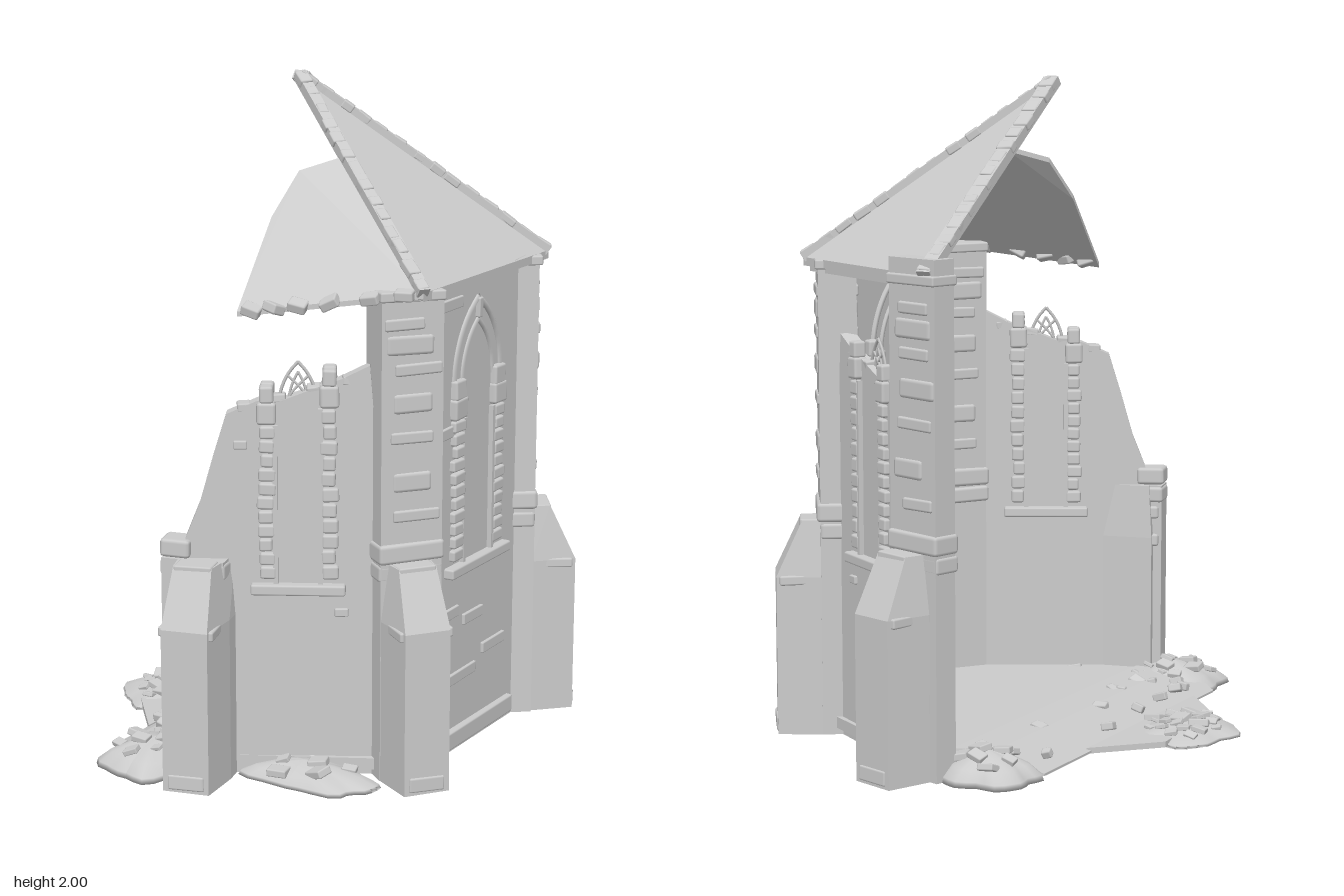
import * as THREE from 'three';
import { RoundedBoxGeometry } from 'three/addons/geometries/RoundedBoxGeometry.js';
import { ConvexGeometry } from 'three/addons/geometries/ConvexGeometry.js';

const mat = new THREE.MeshStandardMaterial({ color: 0xcccccc, side: THREE.DoubleSide });
const V = (x, y, z) => new THREE.Vector3(x, y, z);
let seed = 7;
const rnd = (a, b) => {
  seed = (seed * 16807) % 2147483647;
  return a + (b - a) * seed / 2147483647;
};

function add(parent, name, geo, x = 0, y = 0, z = 0) {
  const m = new THREE.Mesh(geo, mat);
  m.name = name;
  m.position.set(x, y, z);
  parent.add(m);
  return m;
}
function group(parent, name, x = 0, z = 0, turn = 0) {
  const g = new THREE.Group();
  g.name = name;
  g.position.set(x, 0, z);
  g.rotation.y = turn;
  parent.add(g);
  return g;
}
// slightly crooked, soft-edged masonry block
function stone(parent, name, x, y, z, w, h, d, wobble = 0.04) {
  const m = add(parent, name, new RoundedBoxGeometry(w, h, d, 1, Math.min(w, h, d) * 0.2), x, y, z);
  m.rotation.set(rnd(-wobble, wobble), rnd(-wobble, wobble), rnd(-wobble, wobble));
  return m;
}
// beam between two points, with flat stones laid along it
function beam(parent, name, a, b, width, height, stones) {
  const g = group(parent, name);
  g.position.copy(a).lerp(b, 0.5);
  g.lookAt(b);
  const len = a.distanceTo(b);
  add(g, 'beamCore', new THREE.BoxGeometry(width, height, len));
  for (let i = 0; i < stones; i++) {
    const z = ((i + rnd(0.35, 0.65)) / stones - 0.5) * len;
    stone(g, 'ridgeStone', rnd(-0.004, 0.004), height * 0.2, z,
      width * rnd(0.9, 1.2), height * rnd(0.7, 0.95), len / stones * rnd(0.5, 0.9), 0.06);
  }
}
function slab(parent, name, pts, offset) {
  return add(parent, name, new ConvexGeometry([...pts, ...pts.map(p => p.clone().add(offset))]));
}
const tube = (pts, r) => new THREE.TubeGeometry(new THREE.CatmullRomCurve3(pts), 10, r, 5);

// half of a pointed arch (circular arc) with half-width w and height h
function archHalf(w, y0, h, s) {
  const k = ((h / w) ** 2 - 1) / 2, end = Math.acos(k / (1 + k));
  return [0, 0.25, 0.5, 0.75, 1].map(t =>
    V(s * w * ((1 + k) * Math.cos(t * end) - k), y0 + w * (1 + k) * Math.sin(t * end), 0));
}
// jambs, sill and (for the whole window) arch, on the two sides of a wall
function windowTrim(parent, x0, w, thick, top, whole) {
  const g = group(parent, 'windowTrim', x0);
  for (const side of [1, -1]) {
    const z = side * thick / 2;
    stone(g, 'sill', 0, 0.572, z, w * 3.05, 0.032, 0.06, 0.01);
    for (const s of [1, -1]) {
      const n = 11, lim = whole ? 1.03 : top(s * w) - 0.08;
      for (let i = 0; i < n; i++) {
        stone(g, 'jambStone', s * (w + rnd(-0.004, 0.004)), 0.6 + (i + 0.5) * (lim - 0.6) / n, z,
          w * rnd(0.42, 0.58), (lim - 0.6) / n * 0.88, 0.035);
      }
      stone(g, 'capital', s * w, lim + 0.035, z, w * 0.62, 0.065, 0.045);
      add(g, 'innerJamb', new THREE.BoxGeometry(0.014, lim - 0.58, 0.03), s * w * 0.72, (lim + 0.58) / 2, z);
      if (whole) {
        stone(g, 'capital', s * w, 1.12, z, w * 0.55, 0.06, 0.04);
        add(g, 'archMoulding', tube(archHalf(w * 1.18, 1.13, 0.245, s), 0.011), 0, 0, z);
        add(g, 'archMoulding', tube(archHalf(w * 0.78, 1.13, 0.18, s), 0.009), 0, 0, z);
      } else stone(g, 'capital', s * w, lim + 0.09, z, w * 0.45, 0.05, 0.04);
    }
    if (whole) stone(g, 'keystone', 0, 1.345, z, 0.022, 0.06, 0.03);
  }
  if (!whole) {
    for (const s of [1, -1]) {
      add(g, 'tracery', tube(archHalf(0.055, 1.11, 0.13, s), 0.005));
      add(g, 'tracery', tube(archHalf(0.028, 1.11, 0.1, s), 0.004));
      add(g, 'tracery', tube([V(s * 0.045, 1.11, 0), V(s * 0.01, 1.16, 0), V(-s * 0.03, 1.2, 0)], 0.004));
    }
  }
}

function createModel() {
  const root = new THREE.Group();
  root.name = 'ruinedChapel';

  // whole end wall with its window
  const end = group(root, 'endWall', 0.48, 0, Math.PI / 2);
  add(end, 'wallPanel', new THREE.BoxGeometry(0.68, 1.45, 0.05), 0, 0.725, 0);
  windowTrim(end, 0, 0.12, 0.05, null, true);
  stone(end, 'baseCourse', 0, 0.045, 0.03, 0.46, 0.055, 0.03, 0.01);
  for (const [x, y, w] of [[-0.17, 0.44, 0.14], [-0.01, 0.4, 0.12], [-0.21, 0.27, 0.07], [0.12, 0.275, 0.14],
    [-0.12, 0.23, 0.26], [-0.17, 1.38, 0.15], [-0.19, 1, 0.11]]) {
    stone(end, 'wallStone', x, y, 0.024, w, 0.034, 0.02, 0.015);
  }

  // broken side walls, mirrored front and back
  for (const s of [1, -1]) {
    const side = group(root, s > 0 ? 'frontWall' : 'backWall', 0.2, s * 0.49, s > 0 ? 0.526 : Math.PI - 0.526);
    const outline = [[-0.33, 0], [0.31, 0], [0.31, 0.7], [0.235, 0.8], [0.2, 1.235], [0.12, 1.195], [0.05, 1.17],
      [-0.04, 1.135], [-0.12, 1.13], [-0.21, 1.09], [-0.25, 0.96], [-0.29, 0.82], [-0.33, 0.72]];
    const shape = new THREE.Shape(outline.map(([x, y]) => new THREE.Vector2(x * s, y)));
    add(side, 'brokenWallPanel', new THREE.ExtrudeGeometry(shape, { depth: 0.05, bevelEnabled: false }), 0, 0, -0.025);
    windowTrim(side, -0.005 * s, 0.09, 0.05, x => 1.165 + 0.28 * x * s, false);
    for (const [x, y] of [[-0.17, 1], [0.12, 0.5]]) stone(side, 'wallStone', s * x, y, 0.024, 0.04, 0.025, 0.02);
    for (let i = 0; i < 4; i++) {
      const x = -0.16 + i * 0.1;
      stone(side, 'brokenEdgeStone', s * x, 1.15 + 0.26 * x, 0, 0.04, 0.025, 0.05, 0.12);
    }
  }

  // piers and tapering buttresses at the four corners
  for (const s of [1, -1]) {
    const corners = [
      { px: -0.055, pz: 0.65, bx: -0.018, bz: 0.7, ax: 0.26, az: 0.966, top: s > 0 ? 0.66 : 1.5, inner: 0 },
      { px: 0.47, pz: 0.345, bx: 0.51, bz: 0.38, ax: 0.8, az: 0.6, top: 1.45, inner: 0.04 },
    ];
    for (const c of corners) {
      const turn = Math.atan2(c.ax, s * c.az);
      const pier = group(root, 'pier', c.px, s * c.pz, turn);
      const depth = 0.075 + c.inner, mid = -c.inner / 2;
      add(pier, 'pierShaft', new THREE.BoxGeometry(0.19, c.top, depth), 0, c.top / 2, mid);
      stone(pier, 'pierBase', 0, 0.63, mid - 0.005, 0.2, 0.05, depth + 0.012, 0.02);
      if (c.top > 1) {
        stone(pier, 'pierBase', 0, 0.69, mid, 0.205, 0.06, depth + 0.02, 0.02);
        // large and small quoins alternate up the shaft
        [0.8, 0.9, 1.03, 1.13, 1.23, 1.3, 1.36].forEach((y, i) =>
          stone(pier, 'quoin', rnd(-0.03, 0.03), y, mid, rnd(0.12, 0.15), i % 2 ? 0.06 : 0.035, depth + 0.014, 0.02));
        stone(pier, 'pierCap', 0, 1.44, mid, 0.2, 0.03, depth + 0.02, 0.02);
      } else {
        stone(pier, 'brokenPierStone', -0.055, 0.69, 0, 0.09, 0.055, 0.085);
        for (const y of [0.57, 0.48]) stone(pier, 'quoin', -0.02, y, -0.01, 0.13, 0.04, 0.08);
      }
      const b = group(root, 'buttress', c.bx, s * c.bz, turn);
      const pts = [];
      for (const q of [1, -1]) {
        for (const y of [0, 0.49]) pts.push(V(q * 0.07, y, 0.12), V(q * 0.09, y, -0.02), V(q * 0.09, y, -0.12));
        pts.push(V(q * 0.058, 0.66, 0.04), V(q * 0.078, 0.66, -0.11));
      }
      add(b, 'buttressBody', new ConvexGeometry(pts));
      for (const q of [1, -1]) stone(b, 'buttressLedge', q * 0.068, 0.48, 0.065, 0.03, 0.03, 0.09);
      stone(b, 'buttressFoot', 0, 0.03, 0.11, 0.11, 0.045, 0.03);
      stone(b, 'buttressCap', 0, 0.65, 0.01, 0.115, 0.026, 0.07);
    }
  }

  // roof: two whole panels and one torn, sagging panel
  const roof = group(root, 'roof');
  const apex = V(-0.11, 1.985, 0), right = V(0.54, 1.455, 0.38), back = V(0.54, 1.455, -0.38), far = V(-0.1, 1.455, -0.705);
  const down = V(0, -0.025, 0);
  slab(roof, 'endRoofPanel', [apex, right, back], down);
  slab(roof, 'backRoofPanel', [apex, back, far], down);
  slab(roof, 'tornRoofPanel', [right, V(0.05, 1.385, 0.585), V(0.022, 1.62, 0.36), V(0.04, 1.74, 0.24),
    V(0.13, 1.775, 0.15)], V(0, -0.015, 0));
  beam(roof, 'frontRidge', apex, right, 0.035, 0.03, 14);
  beam(roof, 'backRidge', apex, back, 0.035, 0.03, 14);
  beam(roof, 'openEdgeRidge', apex, far, 0.045, 0.03, 15);
  beam(roof, 'endEave', V(0.515, 1.445, 0.38), V(0.515, 1.445, -0.38), 0.03, 0.025, 7);
  beam(roof, 'backEave', V(0.5, 1.435, -0.365), V(-0.1, 1.435, -0.665), 0.05, 0.04, 7);
  for (const t of [0.08, 0.2, 0.33, 0.5, 0.72, 0.9]) {
    stone(roof, 'tornEaveStone', 0.05 + 0.49 * t, 1.385 + 0.07 * t, 0.585 - 0.205 * t, 0.055, 0.03, 0.045, 0.4);
  }

  // floor slab with a stepped, sloping apron on the open side
  const floor = group(root, 'floor');
  const hex = [[0.5, 0.37], [0.5, -0.37], [-0.09, -0.68], [-0.09, 0.68]].map(([x, z]) => V(x, 0.02, z));
  slab(floor, 'floorSlab', hex, V(0, 0.035, 0));
  const apron = [[-0.09, 0.06, -0.66, 0.66], [-0.2, 0.055, -0.6, 0.64], [-0.32, 0.035, -0.53, 0.62], [-0.37, 0.012, -0.5, 0.6]];
  add(floor, 'apron', new ConvexGeometry(apron.flatMap(([x, y, z0, z1]) =>
    [V(x, y, z0), V(x, y, z1), V(x, 0.005, z0), V(x, 0.005, z1)])));
  slab(floor, 'outerStep', [[-0.36, -0.23], [-0.53, -0.05], [-0.52, 0.3], [-0.36, 0.48]].map(([x, z]) => V(x, 0.003, z)),
    V(0, 0.018, 0));

  // rubble heaps: uneven low mounds strewn with stones
  const heaps = [[-0.5, 0.14, 0.155, 0.19, 0.04, 22], [-0.23, -0.58, 0.15, 0.13, 0.085, 9],
    [-0.2, 0.66, 0.16, 0.17, 0.08, 11], [0.24, 0.53, 0.23, 0.11, 0.055, 7]];
  heaps.forEach(([x, z, rx, rz, h, n], k) => {
    const g = group(root, 'rubbleHeap', x, z);
    const geo = new THREE.LatheGeometry([[0, 0], [1, 0], [0.97, 0.2], [0.75, 0.55], [0.4, 0.85], [0, 1]]
      .map(p => new THREE.Vector2(...p)), 32);
    const p = geo.attributes.position;
    for (let i = 0; i < p.count; i++) {
      const a = Math.atan2(p.getZ(i), p.getX(i));
      const f = 1 + 0.08 * Math.sin(5 * a + k) + 0.04 * Math.sin(9 * a + 2 * k);
      p.setXYZ(i, p.getX(i) * rx * f, p.getY(i) * h, p.getZ(i) * rz * f);
    }
    geo.computeVertexNormals();
    add(g, 'mound', geo);
    for (let i = 0; i < n; i++) {
      const a = i * 2.4, r = 0.75 * Math.sqrt((i + 0.5) / n), size = rnd(0.02, 0.05);
      stone(g, 'rubbleStone', Math.cos(a) * rx * r, h * (1 - r * r * 0.8) + 0.003, Math.sin(a) * rz * r,
        size * 1.3, size * 0.5, size, 0.4);
    }
  });
  for (let i = 0; i < 18; i++) {
    stone(floor, 'looseStone', rnd(-0.35, -0.12), 0.05, i < 13 ? rnd(0.3, 0.62) : rnd(-0.5, 0.2),
      rnd(0.02, 0.05), 0.025, rnd(0.02, 0.04), 0.4);
  }
  return root;
}

export { createModel };
